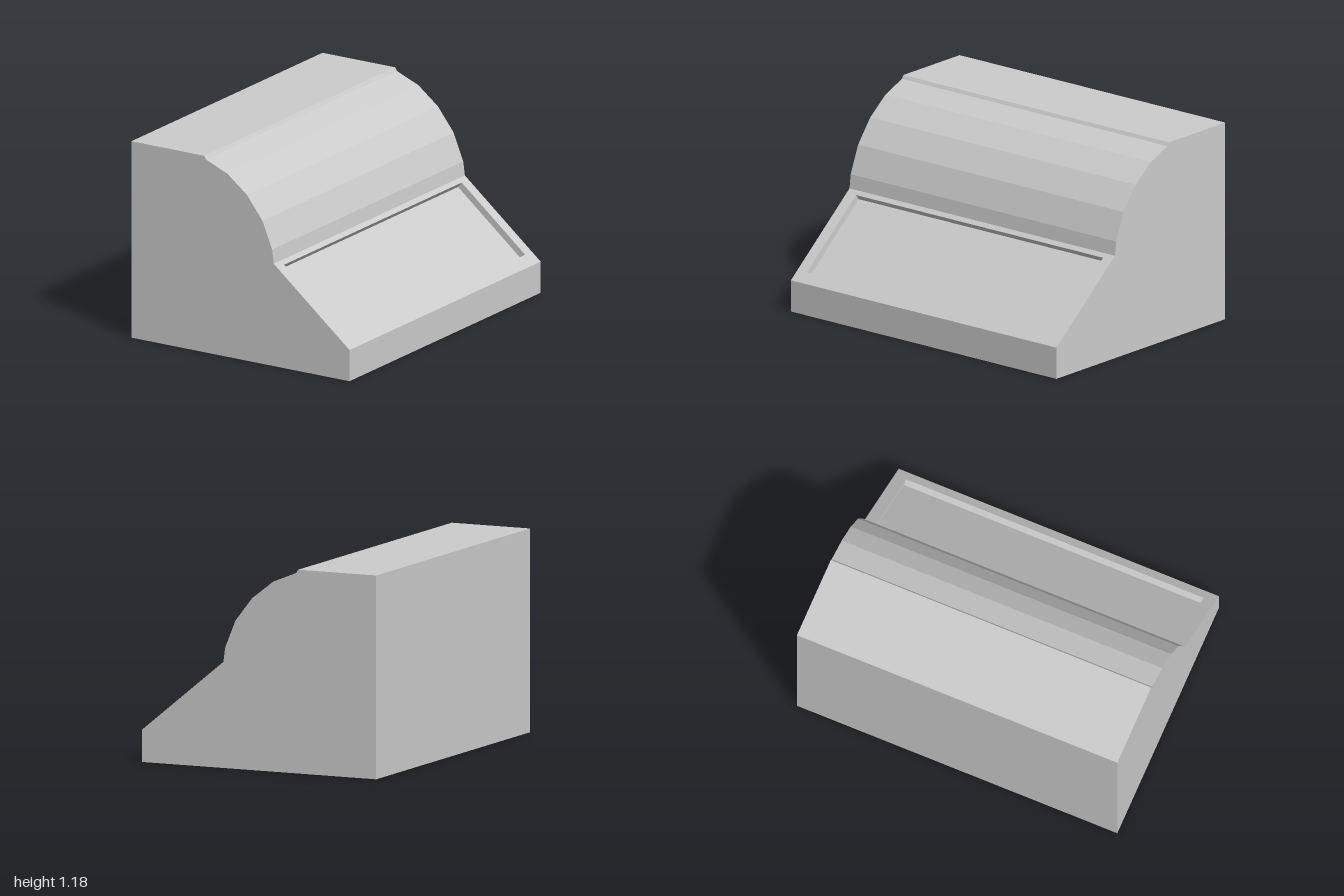
import * as THREE from 'three';
import { mergeGeometries } from 'three/addons/utils/BufferGeometryUtils.js';

const HALF = 1;          // half length of the body along z
const POCKET_HALF = 0.93;
const POCKET_DEPTH = 0.04;

// Cross-section, running up the tall side and down the curved one
const profile = [
  [-0.75, 0], [-0.75, 1.185], [-0.25, 1.185], [-0.237, 1.165], [-0.09, 1.105], [0.045, 1.0],
  [0.152, 0.862], [0.218, 0.7], [0.229, 0.617], [0.75, 0.188], [0.75, 0],
].map(([x, y]) => new THREE.Vector2(x, y));
const SLOPE = 8; // index of the segment that carries the pocket

// Flat convex polygon from 3D corners, counter-clockwise from outside
function polygon(corners) {
  const g = new THREE.BufferGeometry();
  const pos = [];
  for (let i = 1; i < corners.length - 1; i++) pos.push(...corners[0], ...corners[i], ...corners[i + 1]);
  g.setAttribute('position', new THREE.Float32BufferAttribute(pos, 3));
  g.computeVertexNormals();
  return g;
}

// Quad swept along z from the profile edge a-b
function strip(a, b, z0 = -HALF, z1 = HALF) {
  return polygon([[a.x, a.y, z1], [b.x, b.y, z1], [b.x, b.y, z0], [a.x, a.y, z0]]);
}

// End cap in the shape of the whole cross-section
function cap(z) {
  let g = new THREE.ShapeGeometry(new THREE.Shape(profile));
  if (z < 0) g.setIndex(Array.from(g.index.array).reverse());
  g = g.toNonIndexed();
  g.deleteAttribute('uv');
  g.translate(0, 0, z);
  g.computeVertexNormals();
  return g;
}

export function createModel() {
  const model = new THREE.Group();
  const material = new THREE.MeshStandardMaterial({ color: 0xcccccc, flatShading: true });
  const add = (name, parts) => {
    const mesh = new THREE.Mesh(mergeGeometries(parts), material);
    mesh.name = name;
    model.add(mesh);
  };

  // Body: both ends and every side except the slope
  const sides = [];
  profile.forEach((p, i) => {
    if (i !== SLOPE) sides.push(strip(p, profile[(i + 1) % profile.length]));
  });
  add('body', [cap(HALF), cap(-HALF), ...sides]);

  // Points on the slope: s along it, d below its surface
  const top = profile[SLOPE], bottom = profile[SLOPE + 1];
  const along = bottom.clone().sub(top).normalize();
  const inward = new THREE.Vector2(along.y, -along.x);
  const at = (s, d) => top.clone().addScaledVector(along, s).addScaledVector(inward, d);
  const rimTop = at(0.032, 0), rimBottom = at(0.597, 0);
  const floorTop = at(0.032, POCKET_DEPTH), floorBottom = at(0.597, POCKET_DEPTH);

  // Border around the pocket
  add('slopeFrame', [
    strip(top, rimTop),
    strip(rimBottom, bottom),
    strip(rimTop, rimBottom, POCKET_HALF, HALF),
    strip(rimTop, rimBottom, -HALF, -POCKET_HALF),
  ]);

  // Pocket walls and floor
  const outline = [rimTop, floorTop, floorBottom, rimBottom];
  const side = (z) => outline.map((p) => [p.x, p.y, z]);
  add('pocketWalls', [
    strip(rimTop, floorTop, -POCKET_HALF, POCKET_HALF),
    strip(floorBottom, rimBottom, -POCKET_HALF, POCKET_HALF),
    polygon(side(-POCKET_HALF)),
    polygon(side(POCKET_HALF).reverse()),
  ]);
  add('pocketFloor', [strip(floorTop, floorBottom, -POCKET_HALF, POCKET_HALF)]);

  return model;
}
